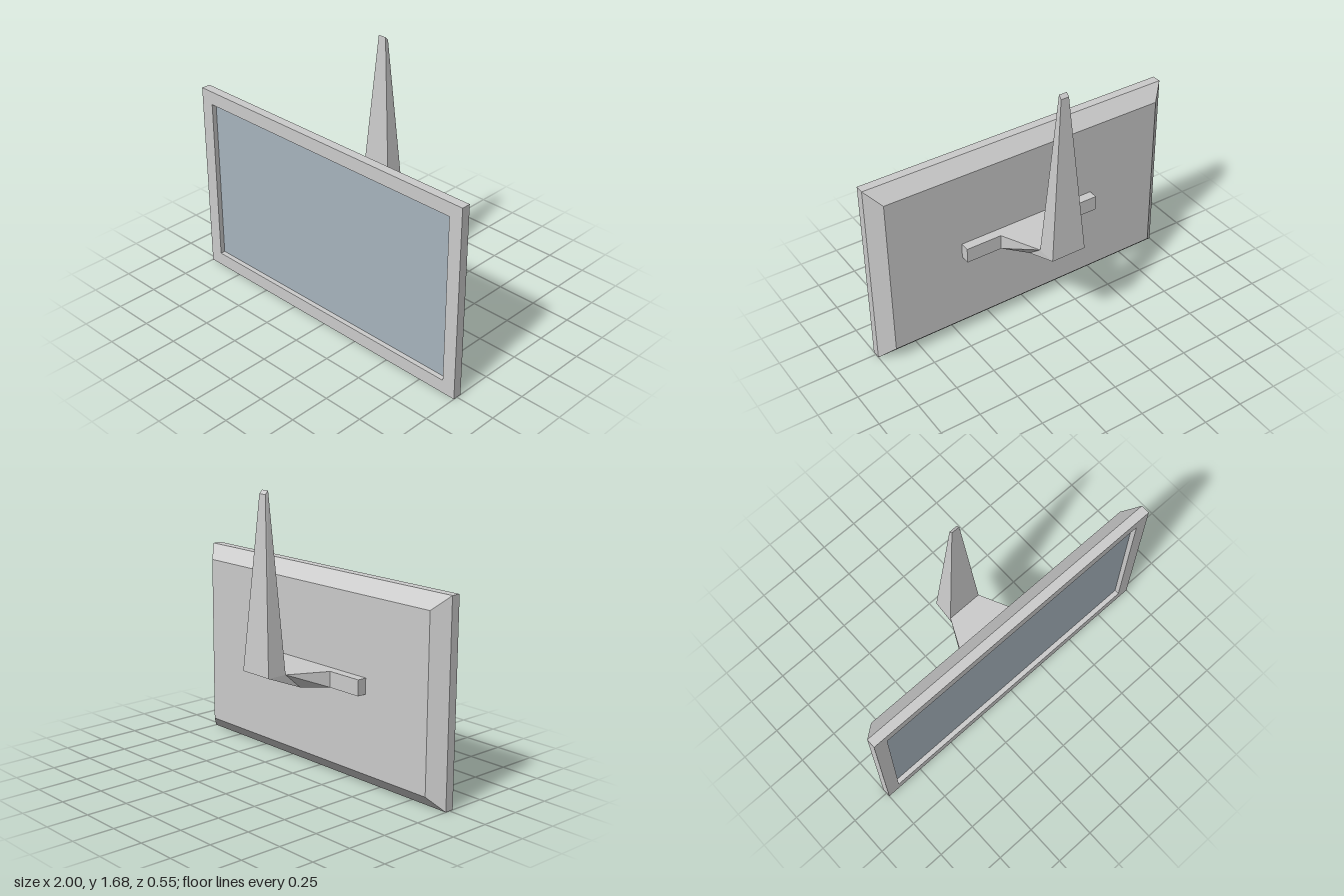
import * as THREE from 'three';

// Skins a run of four-corner rings (bottom left, bottom right, top right, top left), front to back.
// The last ring is capped; the first stays open.
function loft(rings) {
  const points = [];
  const tri = (a, b, c) => {
    const area = new THREE.Triangle(a, b, c).getArea();
    if (area > 1e-7) points.push(a, b, c);
  };
  for (let r = 0; r < rings.length - 1; r++) {
    for (let i = 0; i < 4; i++) {
      const j = (i + 1) % 4;
      const a = rings[r][i], b = rings[r][j], c = rings[r + 1][j], d = rings[r + 1][i];
      // mirrored diagonals on the left and right sides
      if (i === 3) { tri(a, d, b); tri(b, d, c); }
      else { tri(a, c, b); tri(a, d, c); }
    }
  }
  const [a, b, c, d] = rings[rings.length - 1];
  tri(a, c, b);
  tri(a, d, c);
  const geometry = new THREE.BufferGeometry().setFromPoints(points);
  geometry.computeVertexNormals();
  return geometry;
}

// Ring with half-width x, lower edge (y0, z0) and upper edge (y1, z1)
const ring = (x, y0, z0, y1, z1) => [
  new THREE.Vector3(-x, y0, z0), new THREE.Vector3(x, y0, z0),
  new THREE.Vector3(x, y1, z1), new THREE.Vector3(-x, y1, z1),
];

export function createModel() {
  const group = new THREE.Group();
  const grey = new THREE.MeshStandardMaterial({ color: 0xcccccc, flatShading: true });
  const glass = new THREE.MeshStandardMaterial({ color: 0xa7b4be });
  const add = (name, geometry, material, x = 0, y = 0, z = 0) => {
    const mesh = new THREE.Mesh(geometry, material);
    mesh.name = name;
    mesh.position.set(x, y, z);
    group.add(mesh);
  };

  // Casing: recess wall, front bezel, rim, bevelled back
  const screenZ = 0.245, frontZ = 0.275, rimZ = 0.22, backZ = 0.143;
  const inner = (z) => ring(0.917, 0.083, z, 1.117, z);
  const outer = (z) => ring(1, 0, z, 1.2, z);
  add('casing', loft([inner(screenZ), inner(frontZ), outer(frontZ), outer(rimZ), inner(backZ)]), grey);

  // Recessed screen
  add('screen', new THREE.PlaneGeometry(1.834, 1.034), glass, 0, 0.6, screenZ);

  // Horizontal mounting bar on the back
  add('mountingBar', new THREE.BoxGeometry(0.9, 0.095, 0.06), grey, 0, 0.6025, 0.115);

  // Bracket that narrows backwards, then turns up into the tapering post
  add('bracketAndPost', loft([
    ring(0.225, 0.555, 0.088, 0.65, 0.088),
    ring(0.11, 0.555, -0.04, 0.65, -0.15),
    ring(0.11, 0.65, -0.275, 0.65, -0.15),
    ring(0.025, 1.66, -0.22, 1.68, -0.2),
  ]), grey);

  return group;
}
